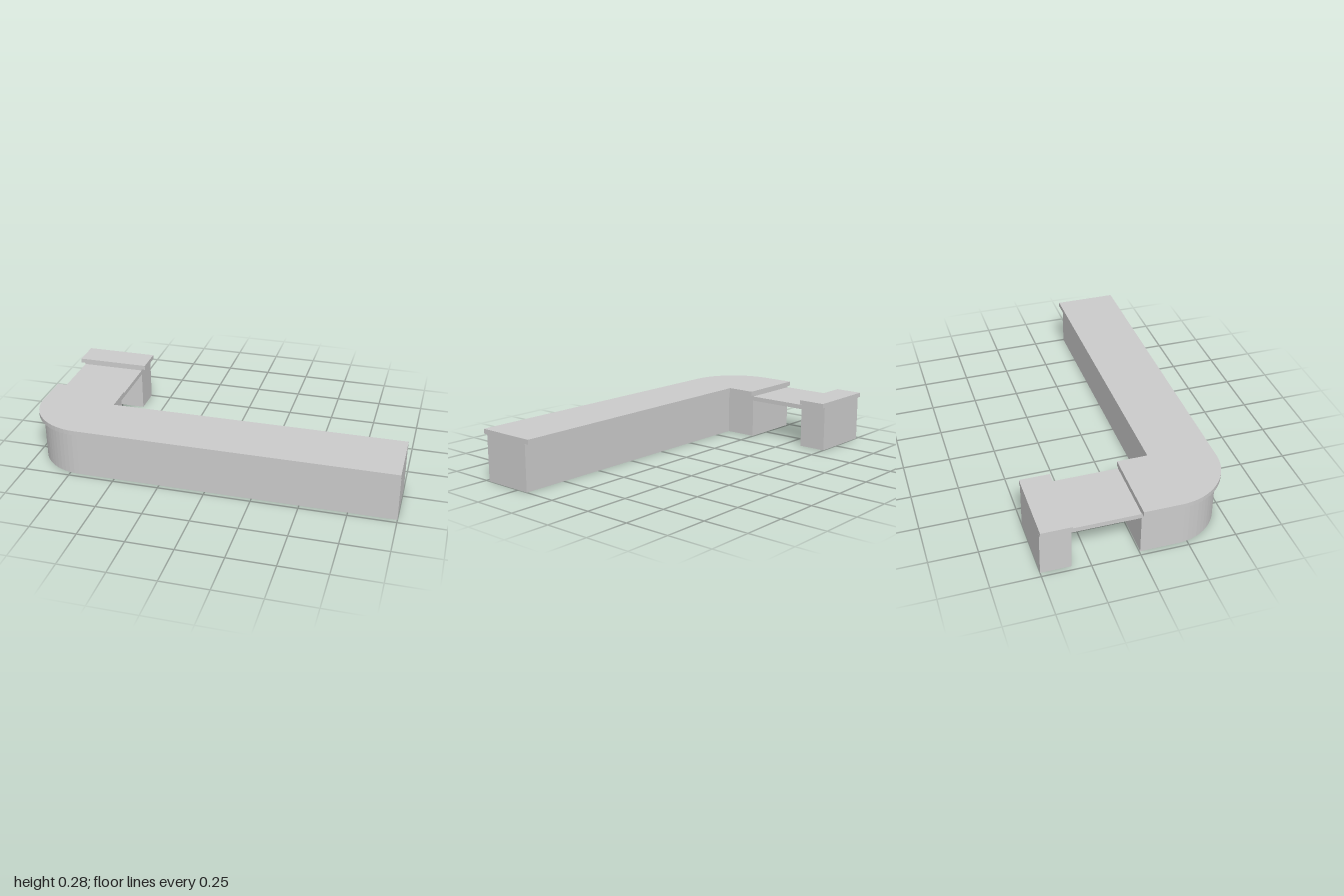
import * as THREE from 'three';

const material = new THREE.MeshStandardMaterial({ color: 0xcccccc });

// L-shaped slab with one rounded outer corner, spanning y0..y1.
// left/front: outer faces, innerX/innerZ: inner corner, endZ: inner edge at the far right end
function counterSlab(name, { left, front, innerX, innerZ, endZ, radius, y0, y1 }) {
  const back = 0.005, right = 1;
  const s = new THREE.Shape(); // drawn in x and z
  s.moveTo(left, back);
  s.lineTo(innerX, back);
  s.lineTo(innerX, innerZ);
  s.lineTo(right, endZ);
  s.lineTo(right, front);
  s.lineTo(left + radius, front);
  s.absarc(left + radius, front - radius, radius, Math.PI / 2, Math.PI, false);
  s.closePath();
  const geo = new THREE.ExtrudeGeometry(s, { depth: y1 - y0, bevelEnabled: false, curveSegments: 8 });
  geo.rotateX(Math.PI / 2).translate(0, y1, 0);
  const mesh = new THREE.Mesh(geo, material);
  mesh.name = name;
  return mesh;
}

// Box given by its limits
function block(name, [x0, x1], [y0, y1], [z0, z1]) {
  const mesh = new THREE.Mesh(new THREE.BoxGeometry(x1 - x0, y1 - y0, z1 - z0), material);
  mesh.position.set((x0 + x1) / 2, (y0 + y1) / 2, (z0 + z1) / 2);
  mesh.name = name;
  return mesh;
}

export function createModel() {
  const model = new THREE.Group();
  model.name = 'barCounter';
  const bodyX = [-0.975, -0.62], topX = [-1, -0.6];

  model.add(
    // Main counter: body and overhanging worktop
    counterSlab('counterBody', { left: -0.975, front: 0.475, innerX: -0.62, innerZ: 0.187, endZ: 0.185, radius: 0.275, y0: 0, y1: 0.25 }),
    counterSlab('counterTop', { left: -1, front: 0.5, innerX: -0.602, innerZ: 0.166, endZ: 0.161, radius: 0.3, y0: 0.25, y1: 0.275 }),
    // Lift-up flap bridging the passage
    block('flap', bodyX, [0.218, 0.243], [-0.343, 0.005]),
    // Separate end cabinet
    block('endCabinetBody', bodyX, [0, 0.25], [-0.5, -0.343]),
    block('endCabinetTop', topX, [0.25, 0.275], [-0.5, -0.343]),
  );
  return model;
}
